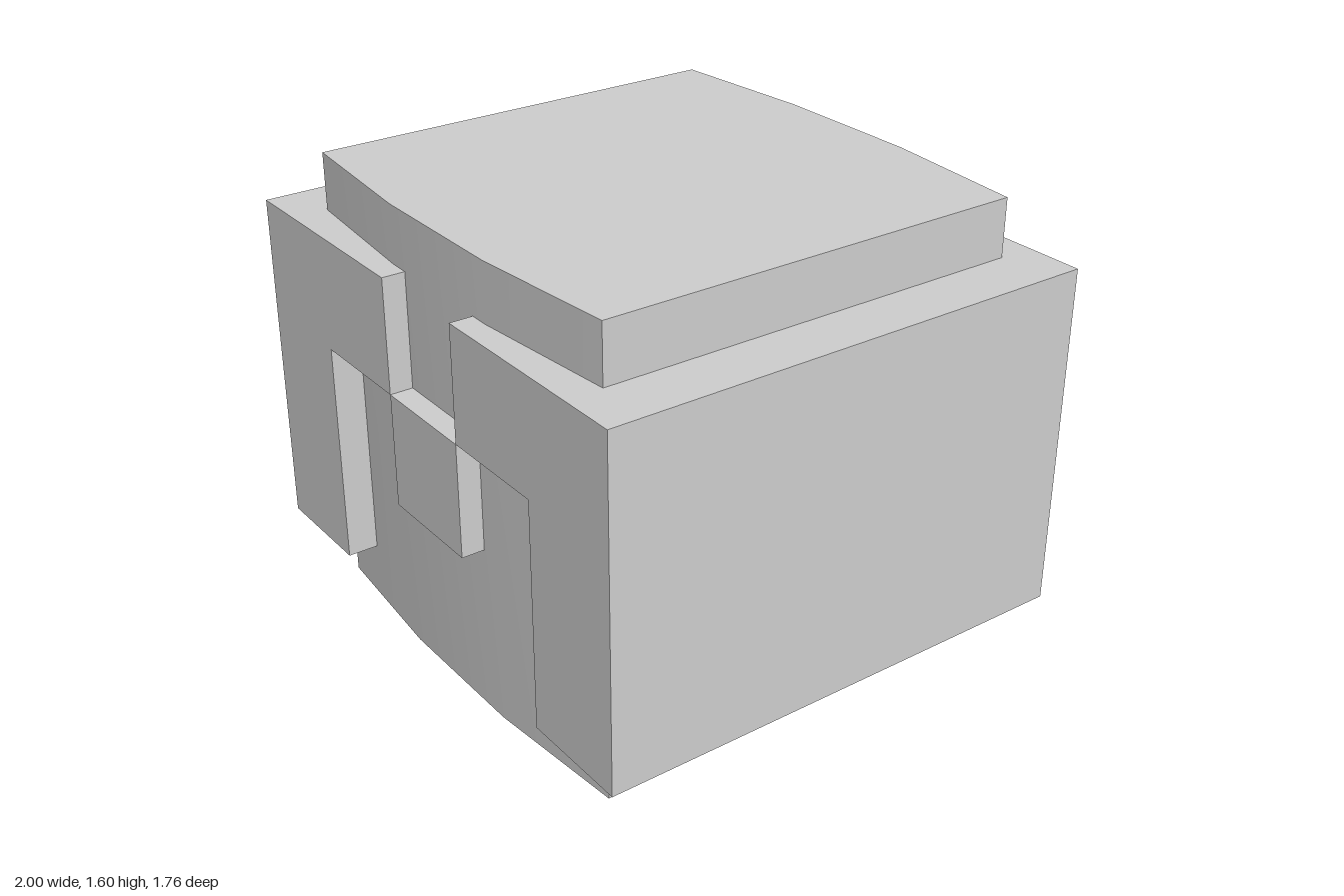
import * as THREE from 'three';
import { toCreasedNormals } from 'three/addons/utils/BufferGeometryUtils.js';

const material = new THREE.MeshStandardMaterial({ color: 0xcccccc });

function addMesh(parent, name, geometry, x = 0, y = 0, z = 0) {
  const mesh = new THREE.Mesh(geometry, material);
  mesh.name = name;
  mesh.position.set(x, y, z);
  parent.add(mesh);
  return mesh;
}

function extrude(points, depth) {
  const shape = new THREE.Shape(points.map(([x, y]) => new THREE.Vector2(x, y)));
  return new THREE.ExtrudeGeometry(shape, { depth, bevelEnabled: false });
}

export function createModel() {
  const group = new THREE.Group();
  group.name = 'claspedBlock';

  // Core block with gently bulging front and back
  const bulge = [[0.8, 0.755], [0.27, 0.8], [-0.27, 0.8], [-0.8, 0.755]];
  const outline = [...bulge, ...bulge.map(([x, z]) => [-x, -z])];
  const core = extrude(outline, 1.6);
  core.rotateX(-Math.PI / 2);
  addMesh(group, 'core', toCreasedNormals(core, Math.PI / 6));

  // Side shells, each wrapping onto the front and back with a stepped edge
  const step = [[1, 0.2], [1, 1.4], [0.2, 1.4], [0.2, 1], [0.6, 1], [0.6, 0.2]];
  for (const [name, side] of [['leftShell', 1], ['rightShell', -1]]) {
    const shell = extrude(step.map(([x, y]) => [x * side, y]), 1.76);
    addMesh(group, name, shell, 0, 0, -0.88);
  }

  // Square latches between the shells
  for (const [name, side] of [['frontLatch', 1], ['backLatch', -1]]) {
    addMesh(group, name, new THREE.BoxGeometry(0.4, 0.4, 0.12), 0, 0.8, side * 0.82);
  }

  return group;
}
